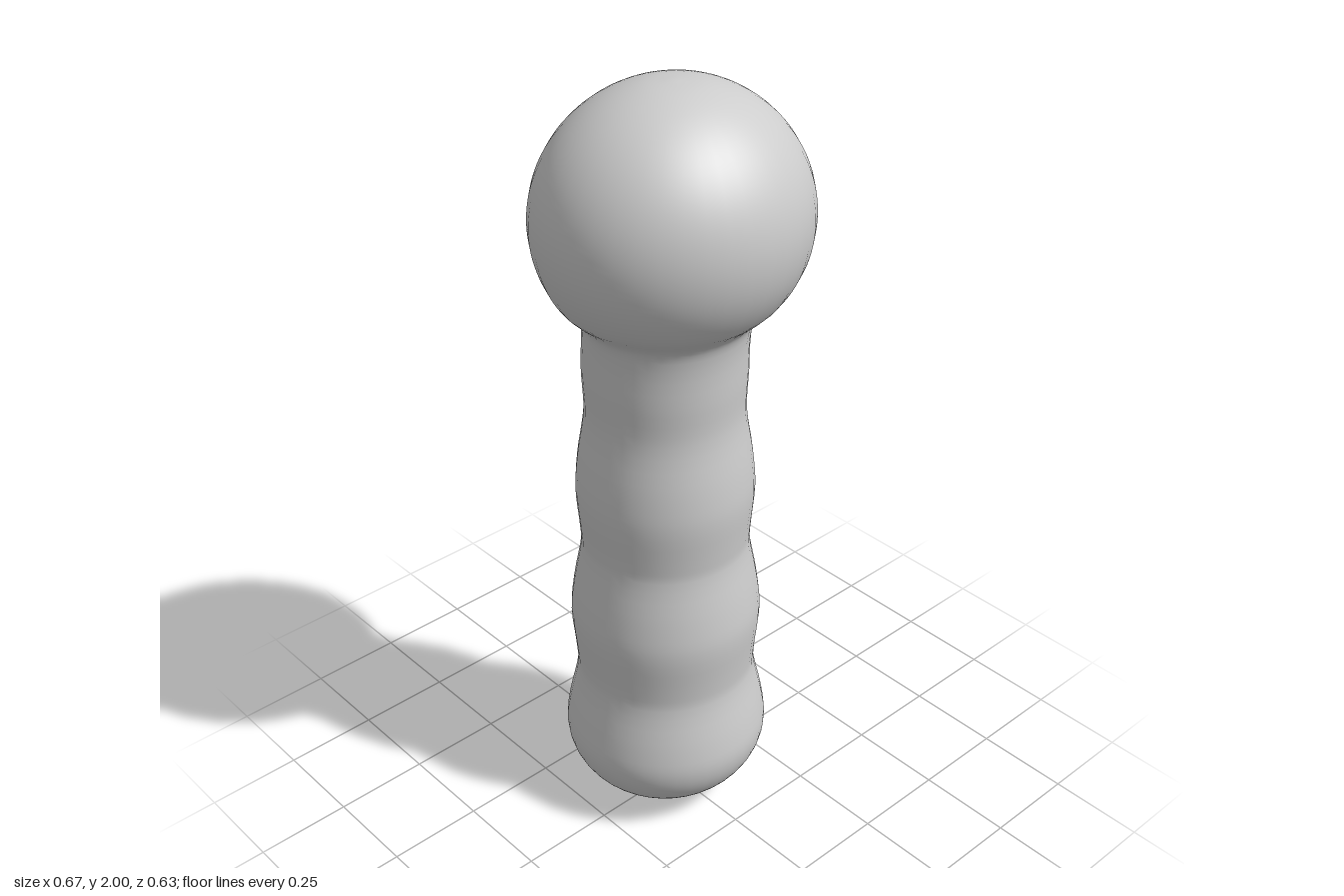
import * as THREE from 'three';
import { mergeVertices } from 'three/addons/utils/BufferGeometryUtils.js';

export function createModel() {
  const group = new THREE.Group();
  const grey = new THREE.MeshStandardMaterial({ color: 0xcccccc });
  grey.name = 'light grey';

  // Profile as [radius, height]: rounded foot, three soft bulges, neck
  const profile = [];
  for (let i = 0; i <= 6; i++) {
    const a = (i / 6) * Math.PI / 2;
    profile.push([0.268 * Math.sin(a), 0.21 * (1 - Math.cos(a))]);
  }
  profile.push(
    [0.259, 0.28], [0.234, 0.4], [0.236, 0.46], [0.246, 0.58], [0.236, 0.67],
    [0.215, 0.79], [0.217, 0.84], [0.225, 0.95], [0.218, 1.04],
    [0.199, 1.17], [0.202, 1.28], [0.204, 1.4], [0.215, 1.435]
  );
  // Round head
  for (let i = 0; i <= 10; i++) {
    const a = -0.64 + (i / 10) * (Math.PI / 2 + 0.64);
    profile.push([0.337 * Math.cos(a), 1.68 + 0.32 * Math.sin(a)]);
  }
  const curve = new THREE.CatmullRomCurve3(profile.map(([r, y]) => new THREE.Vector3(r, y, 0)));
  const points = curve.getPoints(120).map(p => new THREE.Vector2(Math.max(0, p.x), p.y));
  points[0].x = points[points.length - 1].x = 0;

  let geometry = new THREE.LatheGeometry(points, 40);
  // Flatten slightly front to back; the shaft sits a little behind the head
  const pos = geometry.attributes.position;
  for (let i = 0; i < pos.count; i++) {
    const t = THREE.MathUtils.smoothstep(pos.getY(i), 1.3, 1.6);
    pos.setZ(i, pos.getZ(i) * THREE.MathUtils.lerp(0.985, 0.933, t) - 0.027 * (1 - t));
  }
  // Weld the seam for smooth shading
  geometry.deleteAttribute('uv');
  geometry.deleteAttribute('normal');
  geometry = mergeVertices(geometry, 1e-4);
  geometry.computeVertexNormals();

  const body = new THREE.Mesh(geometry, grey);
  body.name = 'knobbedHandle';
  group.add(body);
  return group;
}
